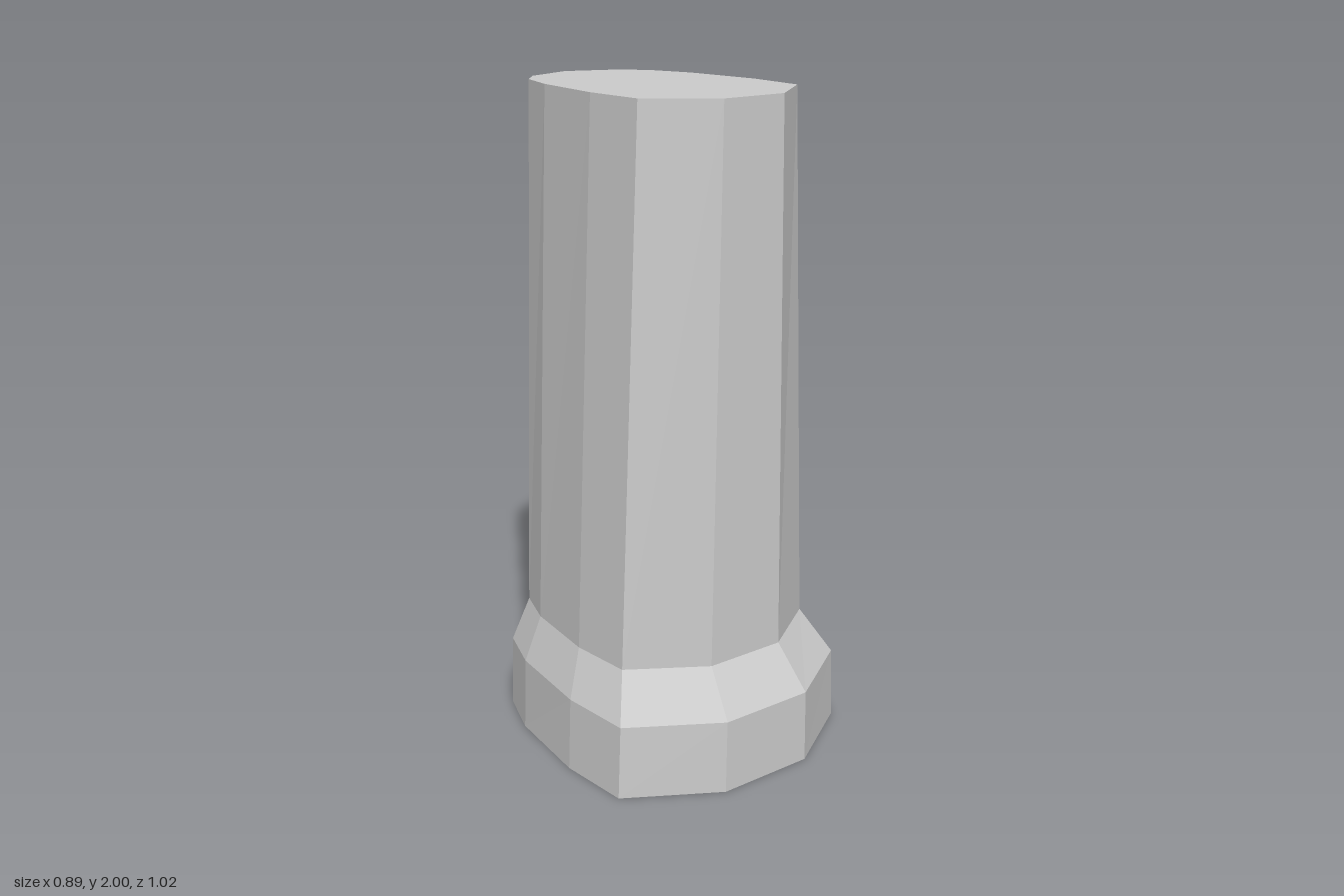
import * as THREE from 'three';

// Cross-sections as [x, z] corners, anticlockwise seen from above
const collarOutline = [
  [-0.165, 0.51], [0.15, 0.51], [0.42, 0.345], [0.445, 0.11], [0.4, -0.195], [0.325, -0.36], [0.228, -0.445],
  [-0.01, -0.51], [-0.243, -0.445], [-0.337, -0.36], [-0.4, -0.195], [-0.445, 0.11], [-0.435, 0.345],
];
const shaftBase = [
  [-0.14, 0.41], [0.123, 0.41], [0.343, 0.267], [0.365, 0.065], [0.325, -0.195], [0.265, -0.335], [0.185, -0.408],
  [-0.01, -0.465], [-0.2, -0.408], [-0.28, -0.335], [-0.332, -0.195], [-0.37, 0.065], [-0.36, 0.267],
];
const shaftTop = [
  [-0.115, 0.41], [0.1, 0.41], [0.28, 0.267], [0.295, 0.065], [0.265, -0.195], [0.217, -0.335], [0.15, -0.41],
  [-0.01, -0.47], [-0.17, -0.41], [-0.235, -0.335], [-0.275, -0.195], [-0.303, 0.065], [-0.295, 0.267],
];

const ring = (outline, y, scaleX = 1) => outline.map(([x, z]) => [x * scaleX, y, z]);

// Skin a stack of rings, optionally closing the bottom or top
function loft(rings, capBottom, capTop) {
  const positions = [];
  const tri = (a, b, c) => positions.push(...a, ...b, ...c);
  const n = rings[0].length;
  for (let r = 0; r < rings.length - 1; r++) {
    for (let i = 0; i < n; i++) {
      const j = (i + 1) % n;
      const [lower, upper] = [rings[r], rings[r + 1]];
      tri(lower[i], lower[j], upper[j]);
      tri(lower[i], upper[j], upper[i]);
    }
  }
  const bottom = rings[0], top = rings[rings.length - 1];
  for (let i = 1; i < n - 1; i++) {
    if (capBottom) tri(bottom[0], bottom[i + 1], bottom[i]);
    if (capTop) tri(top[0], top[i], top[i + 1]);
  }
  const geometry = new THREE.BufferGeometry();
  geometry.setAttribute('position', new THREE.Float32BufferAttribute(positions, 3));
  geometry.computeVertexNormals();
  return geometry;
}

export function createModel() {
  const group = new THREE.Group();
  group.name = 'taperedColumn';
  const material = new THREE.MeshStandardMaterial({ color: 0xcccccc, flatShading: true });
  const add = (name, geometry) => {
    const mesh = new THREE.Mesh(geometry, material);
    mesh.name = name;
    group.add(mesh);
  };

  // Wide foot with a bevel running up to the shaft
  add('baseCollar', loft([ring(collarOutline, 0), ring(collarOutline, 0.225, 0.98), ring(shaftBase, 0.36)], true, false));
  // Faceted shaft narrowing sideways towards a flat top
  add('shaft', loft([ring(shaftBase, 0.36), ring(shaftTop, 2)], false, true));

  return group;
}
